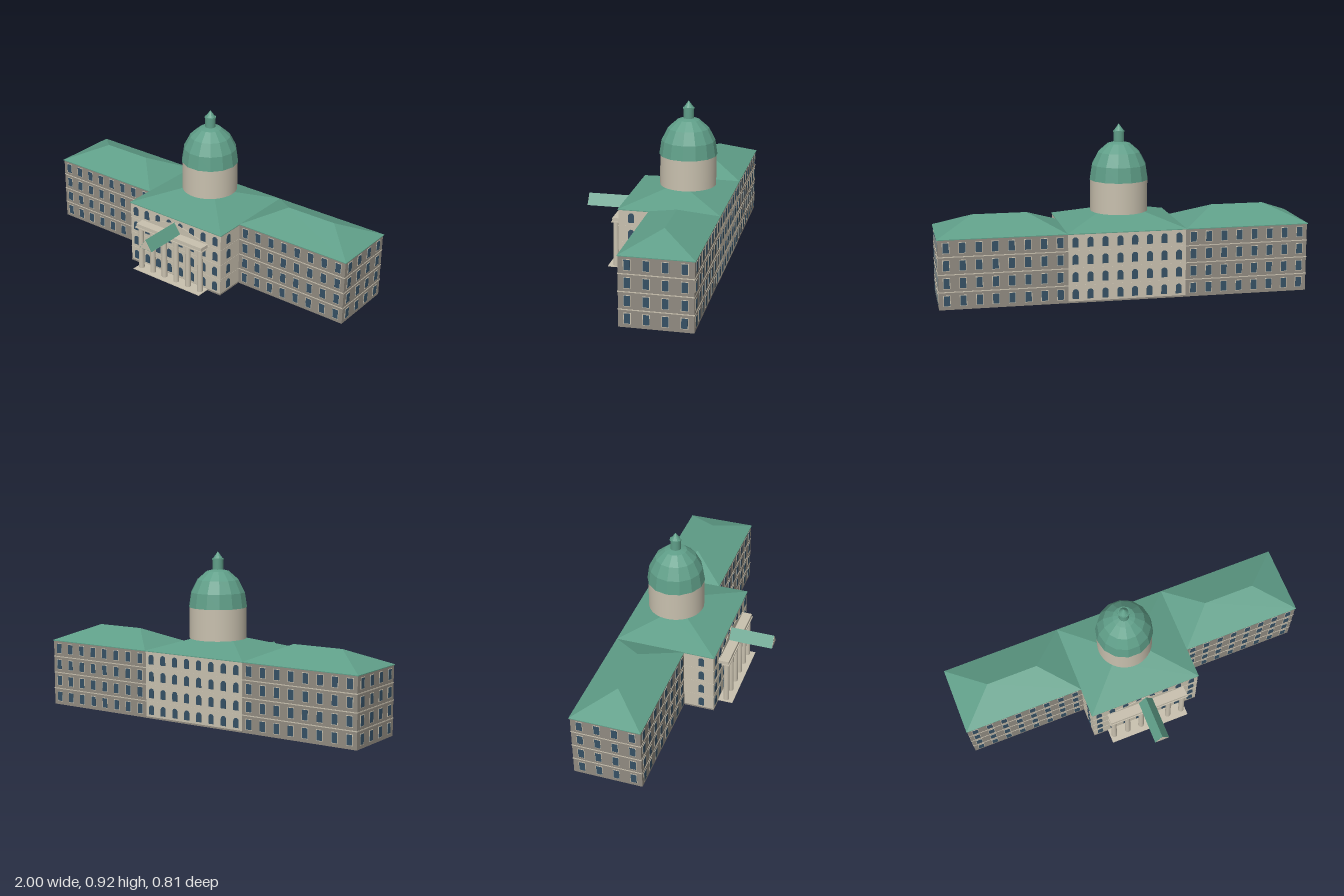
import * as THREE from 'three';
import { mergeGeometries } from 'three/addons/utils/BufferGeometryUtils.js';
import { ConvexGeometry } from 'three/addons/geometries/ConvexGeometry.js';

const paint = (name, color) => Object.assign(new THREE.MeshStandardMaterial({ color }), { name });

export function createModel() {
  const model = new THREE.Group();
  model.name = 'domedBuilding';

  const stone = paint('pale stone', 0xc8c0ae);
  const wingStone = paint('grey stone', 0x908a80);
  const copper = paint('green copper', 0x5f9e88);
  const copperFlat = paint('green copper facets', 0x5f9e88);
  copperFlat.flatShading = true;
  const glass = paint('window glass', 0x355064);

  const add = (name, geometry, material, parent = model) => {
    const mesh = new THREE.Mesh(geometry, material);
    mesh.name = name;
    parent.add(mesh);
    return mesh;
  };
  // box given by its limits
  const box = (x0, x1, y0, y1, z0, z1) =>
    new THREE.BoxGeometry(x1 - x0, y1 - y0, z1 - z0)
      .translate((x0 + x1) / 2, (y0 + y1) / 2, (z0 + z1) / 2);
  const hull = (points) => new ConvexGeometry(points.map((p) => new THREE.Vector3(...p)));
  // sloped roof from a base rectangle to a smaller top rectangle or ridge
  const roof = ([x0, x1, z0, z1], y0, [a0, a1, c0, c1], y1) => {
    const points = [];
    for (const x of [x0, x1]) for (const z of [z0, z1])
      points.push([x, y0 - 0.004, z], [x, y0, z]);
    for (const x of [a0, a1]) for (const z of c0 === c1 ? [c0] : [c0, c1]) points.push([x, y1, z]);
    return hull(points);
  };

  const floors = [0.048, 0.141, 0.235, 0.328];
  const belts = [0.094, 0.187, 0.28];
  const BACK = -0.398, WING_FRONT = -0.017, FRONT = 0.153;

  // window plates: each place is [x, z, turn about y]
  const row = (shape, depth, places) => mergeGeometries(places.flatMap(([x, z, turn]) =>
    floors.map((y) => new THREE.ExtrudeGeometry(shape, { depth, bevelEnabled: false, curveSegments: 8 })
      .rotateY(turn).translate(x, y, z))));
  const rectangle = (w, h) => new THREE.Shape([
    new THREE.Vector2(-w / 2, -h / 2), new THREE.Vector2(w / 2, -h / 2),
    new THREE.Vector2(w / 2, h / 2), new THREE.Vector2(-w / 2, h / 2)]);
  const arch = (w, h) => {
    const s = new THREE.Shape();
    s.moveTo(-w / 2, -h / 2);
    s.lineTo(w / 2, -h / 2);
    s.lineTo(w / 2, h / 2 - w / 2);
    s.absarc(0, h / 2 - w / 2, w / 2, 0, Math.PI, false);
    return s;
  };

  // wings
  for (const side of [1, -1]) {
    const wing = new THREE.Group();
    wing.name = side > 0 ? 'leftWing' : 'rightWing';
    model.add(wing);
    const span = (a, b) => (side > 0 ? [a, b] : [-b, -a]);
    add('wingWalls', box(...span(0.3, 0.995), 0, 0.372, BACK, WING_FRONT), wingStone, wing);
    add('wingBelts', mergeGeometries(belts.map((y) =>
      box(...span(0.31, 0.997), y - 0.0025, y + 0.0025, BACK - 0.002, WING_FRONT + 0.002))), stone, wing);
    add('wingRoof', roof([...span(0.32, 1), -0.403, -0.014], 0.374,
      [...span(0.51, 0.8), -0.207, -0.207], 0.46), copper, wing);

    const places = [];
    for (let i = 0; i < 8; i++) {
      const x = side * (0.36 + i * 0.0848);
      places.push([x, WING_FRONT, 0], [x, BACK, Math.PI]);
    }
    for (let i = 0; i < 4; i++) places.push([side * 0.995, -0.063 - i * 0.0955, side * Math.PI / 2]);
    add('windowFrames', row(rectangle(0.038, 0.059), 0.002, places), stone, wing);
    add('windowPanes', row(rectangle(0.032, 0.053), 0.003, places), glass, wing);
  }

  // central block
  const centre = new THREE.Group();
  centre.name = 'centralBlock';
  model.add(centre);
  add('centralWalls', box(-0.318, 0.318, 0.009, 0.372, BACK - 0.001, FRONT), stone, centre);
  add('plinth', box(-0.319, 0.319, 0, 0.009, BACK - 0.002, FRONT + 0.002), wingStone, centre);
  add('centralBelts', mergeGeometries(belts.map((y) =>
    box(-0.319, 0.319, y - 0.002, y + 0.002, BACK - 0.002, FRONT + 0.002))), stone, centre);
  add('centralRoof', roof([-0.322, 0.322, -0.403, 0.157], 0.374,
    [-0.105, 0.105, -0.18, -0.072], 0.445), copper, centre);
  const arches = [[0.318, 0.083, Math.PI / 2], [-0.318, 0.083, -Math.PI / 2]];
  for (let i = 0; i < 8; i++) {
    const x = -0.28 + i * 0.08;
    arches.push([x, FRONT, 0], [x, BACK - 0.001, Math.PI]);
  }
  add('archedWindows', row(arch(0.032, 0.053), 0.003, arches), glass, centre);

  // portico
  const portico = new THREE.Group();
  portico.name = 'portico';
  model.add(portico);
  add('porticoFloor', box(-0.235, 0.235, 0.005, 0.009, FRONT, 0.238), stone, portico);
  for (let i = 0; i < 6; i++) {
    const column = add('column', new THREE.CylinderGeometry(0.0145, 0.0165, 0.256, 16), stone, portico);
    column.position.set(-0.21 + i * 0.084, 0.137, 0.195);
  }
  add('architrave', box(-0.235, 0.235, 0.264, 0.27, 0.172, 0.216), stone, portico);
  add('entablature', box(-0.23, 0.23, 0.27, 0.29, FRONT, 0.211), stone, portico);
  add('pediment', hull([FRONT, FRONT + 0.004].flatMap((z) =>
    [[-0.235, 0.288, z], [0.235, 0.288, z], [0, 0.348, z]])), stone, portico);
  add('porticoRoof', hull([FRONT, 0.404].flatMap((z) =>
    [[-0.042, 0.289, z], [0.042, 0.289, z], [0, 0.35, z]])), copper, portico);
  add('porticoGable', hull([0.403, 0.405].flatMap((z) =>
    [[-0.039, 0.291, z], [0.039, 0.291, z], [0, 0.347, z]])), stone, portico);

  // drum, faceted dome and lantern
  const tower = new THREE.Group();
  tower.name = 'domeTower';
  tower.position.z = -0.165;
  model.add(tower);
  add('drum', new THREE.CylinderGeometry(0.155, 0.155, 0.17, 40).translate(0, 0.53, 0), stone, tower);
  add('dome', new THREE.SphereGeometry(0.16, 14, 4, 0, Math.PI * 2, 0, Math.PI / 2)
    .scale(1, 1.31, 1).translate(0, 0.615, 0), copperFlat, tower);
  add('domeUnderside', new THREE.CircleGeometry(0.16, 14).rotateX(Math.PI / 2)
    .translate(0, 0.615, 0), copper, tower);
  add('lantern', new THREE.CylinderGeometry(0.029, 0.029, 0.06, 14).translate(0, 0.848, 0), copper, tower);
  add('lanternRim', new THREE.CylinderGeometry(0.032, 0.032, 0.006, 14).translate(0, 0.873, 0), copper, tower);
  add('lanternCap', new THREE.ConeGeometry(0.031, 0.043, 14).translate(0, 0.8935, 0), copperFlat, tower);

  return model;
}
